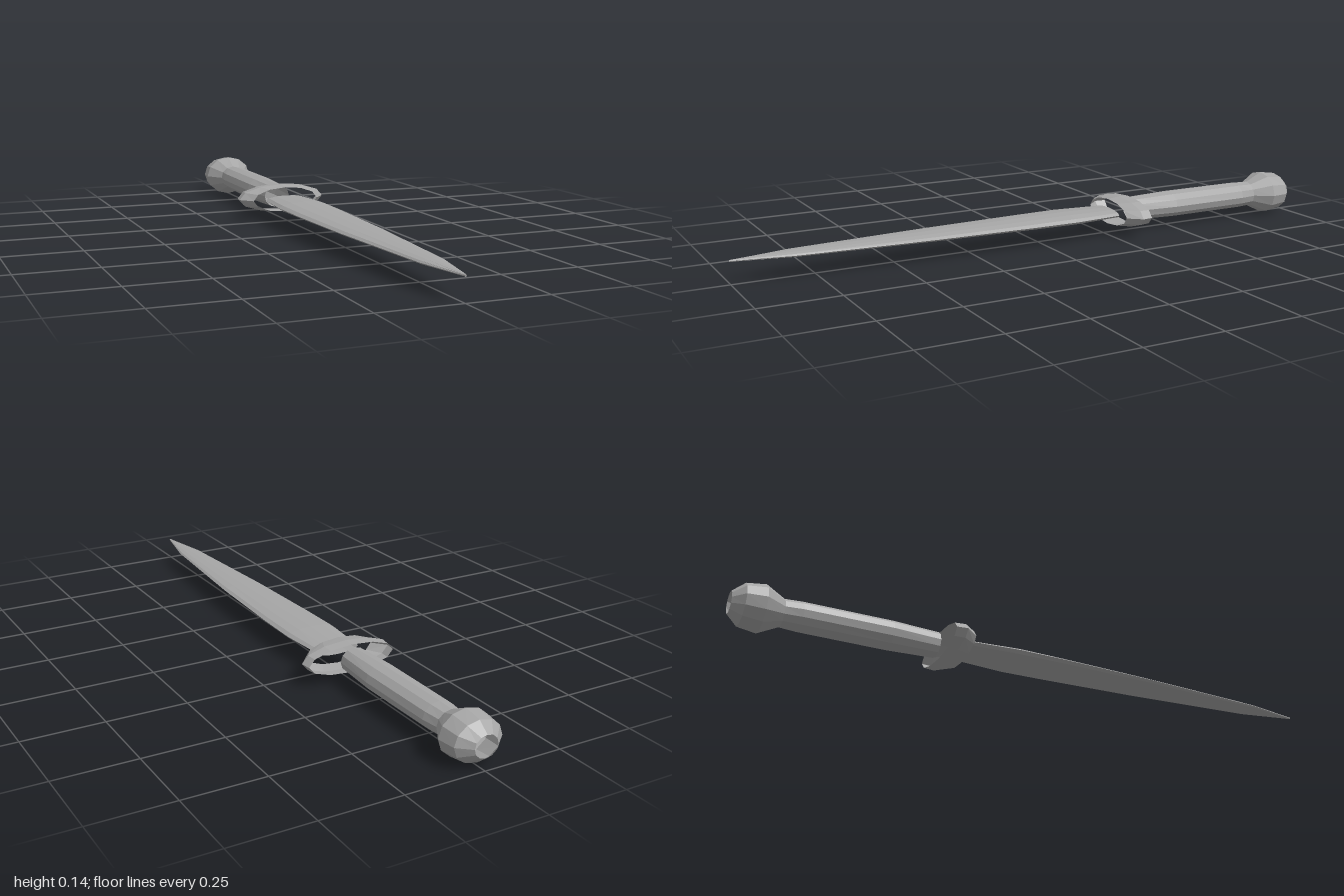
import * as THREE from 'three';

const SIDES = 12;
const AXIS_Y = 0.071;

// Open elliptical loft along z; each section is [z, half width, half height], z ascending
function loft(sections) {
  const positions = [];
  const index = [];
  for (const [z, rx, ry] of sections) {
    for (let i = 0; i < SIDES; i++) {
      const a = (i / SIDES) * Math.PI * 2;
      positions.push(Math.sin(a) * rx, AXIS_Y + Math.cos(a) * ry, z);
    }
  }
  for (let s = 0; s < sections.length - 1; s++) {
    for (let i = 0; i < SIDES; i++) {
      const j = (i + 1) % SIDES;
      const a = s * SIDES + i, b = s * SIDES + j;
      const c = a + SIDES, d = b + SIDES;
      index.push(a, c, b, b, c, d);
    }
  }
  const geometry = new THREE.BufferGeometry();
  geometry.setAttribute('position', new THREE.Float32BufferAttribute(positions, 3));
  geometry.setIndex(index);
  const flat = geometry.toNonIndexed();
  flat.computeVertexNormals();
  return flat;
}

export function createModel() {
  const group = new THREE.Group();
  group.name = 'dagger';

  const steel = new THREE.MeshStandardMaterial({
    color: 0xa6a6a6, flatShading: true, side: THREE.DoubleSide,
  });
  steel.name = 'steel grey';

  const parts = {
    // Faceted knob, open at the end
    pommel: [
      [-1, 0.038, 0.034], [-0.965, 0.078, 0.062], [-0.905, 0.085, 0.071], [-0.845, 0.047, 0.042],
    ],
    // Slightly swollen handle tube, open toward the guard
    grip: [
      [-0.845, 0.047, 0.042], [-0.79, 0.054, 0.044], [-0.51, 0.056, 0.044], [-0.355, 0.045, 0.04],
    ],
    // Oval hoop standing free of the grip and blade
    guard: [
      [-0.345, 0.148, 0.045], [-0.31, 0.152, 0.047], [-0.268, 0.115, 0.042],
    ],
    // Leaf-shaped blade narrowing to a tiny open tip
    blade: [
      [-0.268, 0.071, 0.014], [-0.1, 0.085, 0.018], [0.05, 0.083, 0.016],
      [0.38, 0.07, 0.013], [0.82, 0.038, 0.009], [1, 0.003, 0.003],
    ],
  };

  for (const [name, sections] of Object.entries(parts)) {
    const mesh = new THREE.Mesh(loft(sections), steel);
    mesh.name = name;
    group.add(mesh);
  }
  return group;
}
